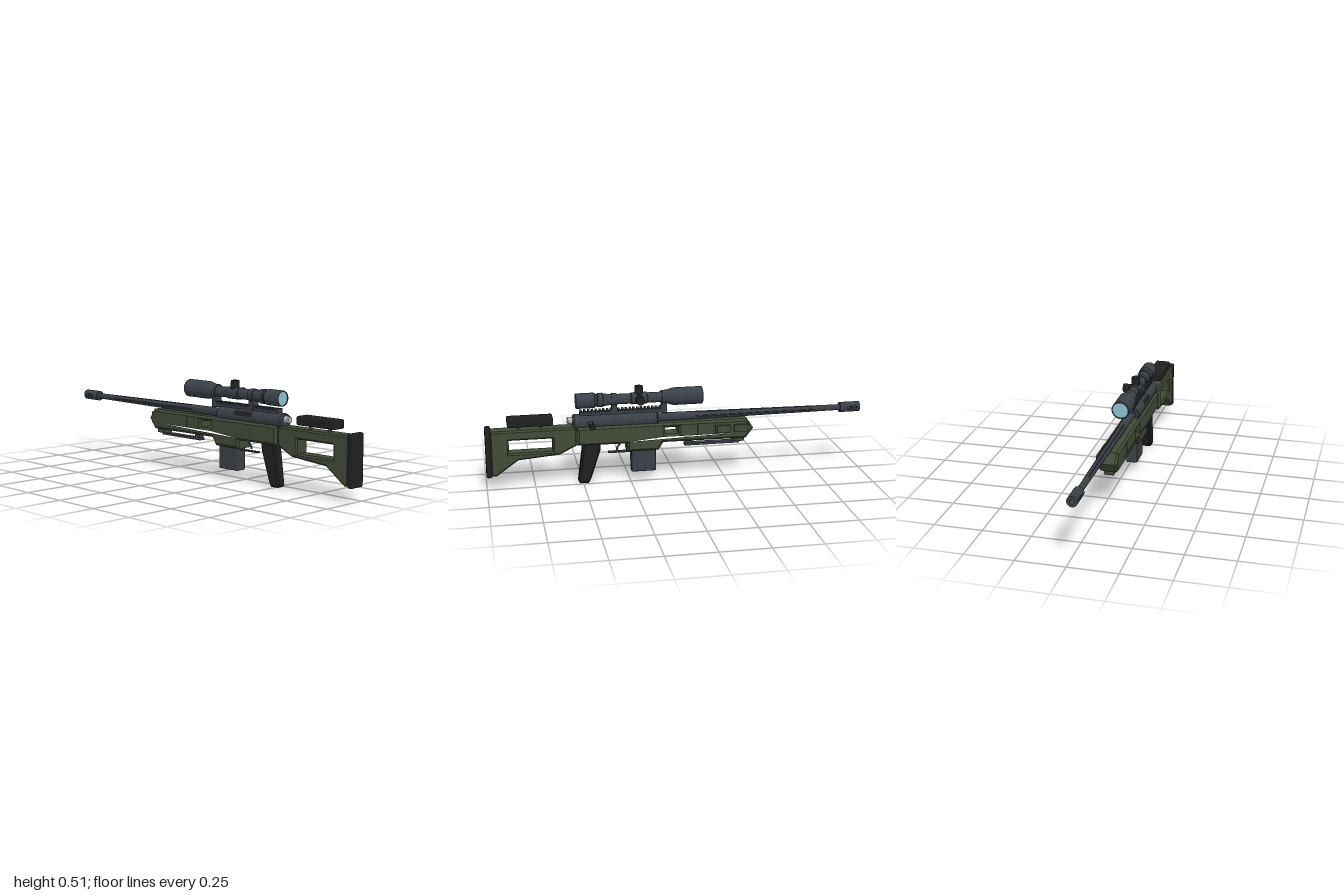
import * as THREE from 'three';
import { RoundedBoxGeometry } from 'three/addons/geometries/RoundedBoxGeometry.js';
import { toCreasedNormals } from 'three/addons/utils/BufferGeometryUtils.js';

const paint = (name, color) => Object.assign(new THREE.MeshStandardMaterial({ color }), { name });

export function createModel() {
  const green = paint('olive green', 0x414b37);
  const metal = paint('gunmetal', 0x3a4047);
  const black = paint('matte black', 0x202020);
  const steel = paint('bare steel', 0xb4b8bc);
  const glass = paint('lens blue', 0x8cc0ce);

  const model = new THREE.Group();
  model.name = 'rifle';
  // All parts are built around x = 0, then shifted to balance the bolt handle.
  const body = new THREE.Group();
  body.name = 'rifleBody';
  body.position.x = -0.033;
  model.add(body);

  const add = (name, geo, mat, x = 0, y = 0, z = 0) => {
    const mesh = new THREE.Mesh(geo, mat);
    mesh.name = name;
    mesh.position.set(x, y, z);
    body.add(mesh);
    return mesh;
  };
  const pts = (list) => list.map(([a, b]) => new THREE.Vector2(a, b));
  const rect = (z0, z1, y0, y1) => [[z0, y0], [z1, y0], [z1, y1], [z0, y1]];
  // Side outline in (z, y), given a width across x.
  const slab = (outline, width, bevel = 0, holes = []) => {
    const shape = new THREE.Shape(pts(outline));
    holes.forEach((h) => shape.holes.push(new THREE.Path(pts(h))));
    const geo = new THREE.ExtrudeGeometry(shape, {
      depth: width - 2 * bevel, bevelEnabled: bevel > 0, bevelSize: bevel,
      bevelThickness: bevel, bevelOffset: -bevel, bevelSegments: 1,
    });
    return geo.translate(0, 0, bevel - width / 2).rotateY(-Math.PI / 2);
  };
  const box = (name, mat, w, y0, y1, z0, z1, x = 0) =>
    add(name, new THREE.BoxGeometry(w, y1 - y0, z1 - z0), mat, x, (y0 + y1) / 2, (z0 + z1) / 2);
  const rounded = (name, mat, w, y0, y1, z0, z1, r) =>
    add(name, new RoundedBoxGeometry(w, y1 - y0, z1 - z0, 2, r), mat, 0, (y0 + y1) / 2, (z0 + z1) / 2);
  // Turned part along z; profile is [radius, z] with z falling.
  const turned = (name, mat, y, profile, sides = 32) => {
    const geo = new THREE.LatheGeometry(pts(profile.map(([r, z]) => [r, -z])), sides).rotateX(-Math.PI / 2);
    return add(name, toCreasedNormals(geo, 0.5), mat, 0, y, 0);
  };

  // Buttstock with thumb opening, recoil pad and cheek rest
  add('buttstock', slab([[0.975, 0.075], [0.95, 0.07], [0.835, 0.152], [0.62, 0.17], [0.53, 0.215],
    [0.53, 0.312], [0.975, 0.312]], 0.08, 0.008,
  [[[0.88, 0.19], [0.88, 0.26], [0.655, 0.26], [0.655, 0.19]]]), green);
  rounded('recoilPad', black, 0.087, 0.066, 0.324, 0.97, 1, 0.008);
  rounded('cheekRest', black, 0.08, 0.329, 0.374, 0.65, 0.885, 0.008);
  for (const z of [0.71, 0.83]) {
    add('cheekPost', new THREE.CylinderGeometry(0.008, 0.008, 0.04, 12), metal, 0, 0.318, z);
  }

  // Chassis and forearm with lightening slots
  const slots = [0, 1, 2, 3, 4].map((i) => 0.07 - i * 0.092);
  add('chassis', slab([[0.53, 0.215], [0.27, 0.212], [0.27, 0.168], [0.105, 0.168], [0.078, 0.208],
    [-0.365, 0.206], [-0.405, 0.26], [-0.37, 0.312], [0.53, 0.312]], 0.102, 0.011,
  slots.map((z) => rect(z - 0.073, z, 0.25, 0.287))), green);
  for (const z of slots.slice(3)) box('accessoryPlate', green, 0.02, 0.248, 0.286, z - 0.07, z, 0.053);

  // Rail slung under the forearm
  box('railMountFront', green, 0.05, 0.184, 0.21, -0.36, -0.305);
  box('railMountRear', metal, 0.03, 0.184, 0.212, -0.08, -0.045);
  box('lowerRail', metal, 0.034, 0.173, 0.185, -0.335, -0.04);

  // Magazine, grip, trigger and guard
  rounded('magazine', metal, 0.06, 0.049, 0.18, 0.115, 0.245, 0.005);
  add('grip', slab([[0.525, 0.012], [0.517, 0], [0.472, 0], [0.46, 0.02], [0.408, 0.175], [0.405, 0.22],
    [0.497, 0.22]], 0.055, 0.008), black);
  add('trigger', new THREE.TubeGeometry(new THREE.CatmullRomCurve3([[0.3, 0.215], [0.305, 0.195],
    [0.317, 0.18], [0.318, 0.168]].map(([z, y]) => new THREE.Vector3(0, y, z))), 10, 0.005, 8), metal);
  box('triggerGuard', metal, 0.022, 0.154, 0.161, 0.245, 0.365);
  box('guardPost', metal, 0.022, 0.154, 0.172, 0.245, 0.262);

  // Receiver, ejection port and bolt
  const axis = 0.331;
  turned('receiver', metal, axis, [[0, 0.548], [0.036, 0.548], [0.042, 0.54], [0.042, 0.11],
    [0.038, 0.105], [0, 0.105]], 24);
  const port = new THREE.CylinderGeometry(0.0435, 0.0435, 0.125, 8, 1, true, 0.15, 0.65);
  const portMesh = add('ejectionPort', port.rotateX(-Math.PI / 2).rotateZ(Math.PI / 2), black, 0, axis, 0.293);
  portMesh.material = black;
  turned('boltShroud', steel, 0.342, [[0, 0.578], [0.014, 0.578], [0.018, 0.573], [0.018, 0.54], [0, 0.54]], 20);
  const across = (name, mat, r, x0, x1, y, z, sides = 20) => add(name,
    new THREE.CylinderGeometry(r, r, x1 - x0, sides).rotateZ(Math.PI / 2), mat, (x0 + x1) / 2, y, z);
  across('boltBase', black, 0.014, 0.03, 0.043, axis, 0.457);
  across('boltHandle', steel, 0.007, 0.035, 0.09, axis + 0.001, 0.457);
  across('boltKnob', black, 0.0155, 0.087, 0.116, axis + 0.001, 0.457);

  // Tapered barrel with six flutes
  turned('barrelShank', metal, axis + 0.003, [[0.023, 0.12], [0.022, -0.1], [0, -0.1]]);
  const fluted = new THREE.CylinderGeometry(0.0165, 0.022, 0.65, 48, 1);
  const p = fluted.attributes.position;
  for (let i = 0; i < p.count; i++) {
    const step = Math.round(Math.atan2(p.getX(i), p.getZ(i)) / (Math.PI / 24));
    const k = ((step % 8) + 8) % 8 === 4 ? 0.86 : 1;
    p.setX(i, p.getX(i) * k);
    p.setZ(i, p.getZ(i) * k);
  }
  add('flutedBarrel', toCreasedNormals(fluted.rotateX(-Math.PI / 2), 0.3), metal, 0, axis + 0.003, -0.425);
  turned('barrelEnd', metal, axis + 0.003, [[0, -0.75], [0.0165, -0.75], [0.015, -0.9]]);

  // Muzzle brake: solid rings joined by upper and lower arcs around the side ports
  const brake = (z0, z1, vented) => {
    const R = 0.027, r = 0.012, gap = 0.33;
    const arcs = vented ? [[gap, Math.PI - gap], [Math.PI + gap, 2 * Math.PI - gap]] : [[0, 2 * Math.PI]];
    for (const [a, b] of arcs) {
      const s = new THREE.Shape();
      s.absarc(0, 0, R, a, b, false);
      if (vented) s.absarc(0, 0, r, b, a, true);
      else s.holes.push(new THREE.Path().absarc(0, 0, r, 0, 2 * Math.PI, true));
      const geo = new THREE.ExtrudeGeometry(s, { depth: z1 - z0, bevelEnabled: false, curveSegments: 24 });
      add('muzzleBrake', toCreasedNormals(geo, 0.5), metal, 0, axis + 0.003, z0);
    }
  };
  brake(-0.932, -0.89, false);
  brake(-0.952, -0.932, true);
  brake(-0.961, -0.952, false);
  brake(-0.981, -0.961, true);
  brake(-1, -0.981, false);

  // Toothed scope rail
  box('scopeRail', metal, 0.036, 0.365, 0.382, 0.08, 0.51);
  for (let i = 0; i < 22; i++) {
    const z = 0.082 + i * 0.0198;
    box('railTooth', metal, 0.042, 0.38, 0.392, z, z + 0.011);
  }

  // Scope body, lenses, rings and turrets
  const sight = 0.443;
  turned('scopeBody', metal, sight, [[0.034, 0.52], [0.034, 0.53], [0.038, 0.53], [0.04, 0.525], [0.04, 0.435],
    [0.033, 0.425], [0.033, 0.418], [0.037, 0.416], [0.037, 0.39], [0.033, 0.387], [0.027, 0.34],
    [0.027, 0.085], [0.045, 0.022], [0.046, 0.015], [0.046, -0.132], [0.043, -0.135], [0.04, -0.135],
    [0.04, -0.128]], 40);
  add('rearLens', new THREE.CircleGeometry(0.0345, 40), glass, 0, sight, 0.526);
  add('frontLens', new THREE.CircleGeometry(0.0405, 40).rotateY(Math.PI), glass, 0, sight, -0.131);
  for (const z of [0.33, 0.068]) {
    const r = z > 0.2 ? 0.033 : 0.036;
    turned('scopeRing', metal, sight, [[0, z + 0.014], [r, z + 0.014], [r, z - 0.014], [0, z - 0.014]]);
    box('ringMount', metal, 0.042, 0.36, 0.43, z - 0.014, z + 0.014);
  }
  turned('turretHousing', metal, sight, [[0.027, 0.245], [0.031, 0.24], [0.031, 0.16], [0.027, 0.155]]);
  add('elevationTurret', new THREE.CylinderGeometry(0.0215, 0.0225, 0.045, 24), black, 0, 0.486, 0.2);
  across('windageTurret', black, 0.0225, 0.022, 0.066, sight, 0.2, 24);

  return model;
}
